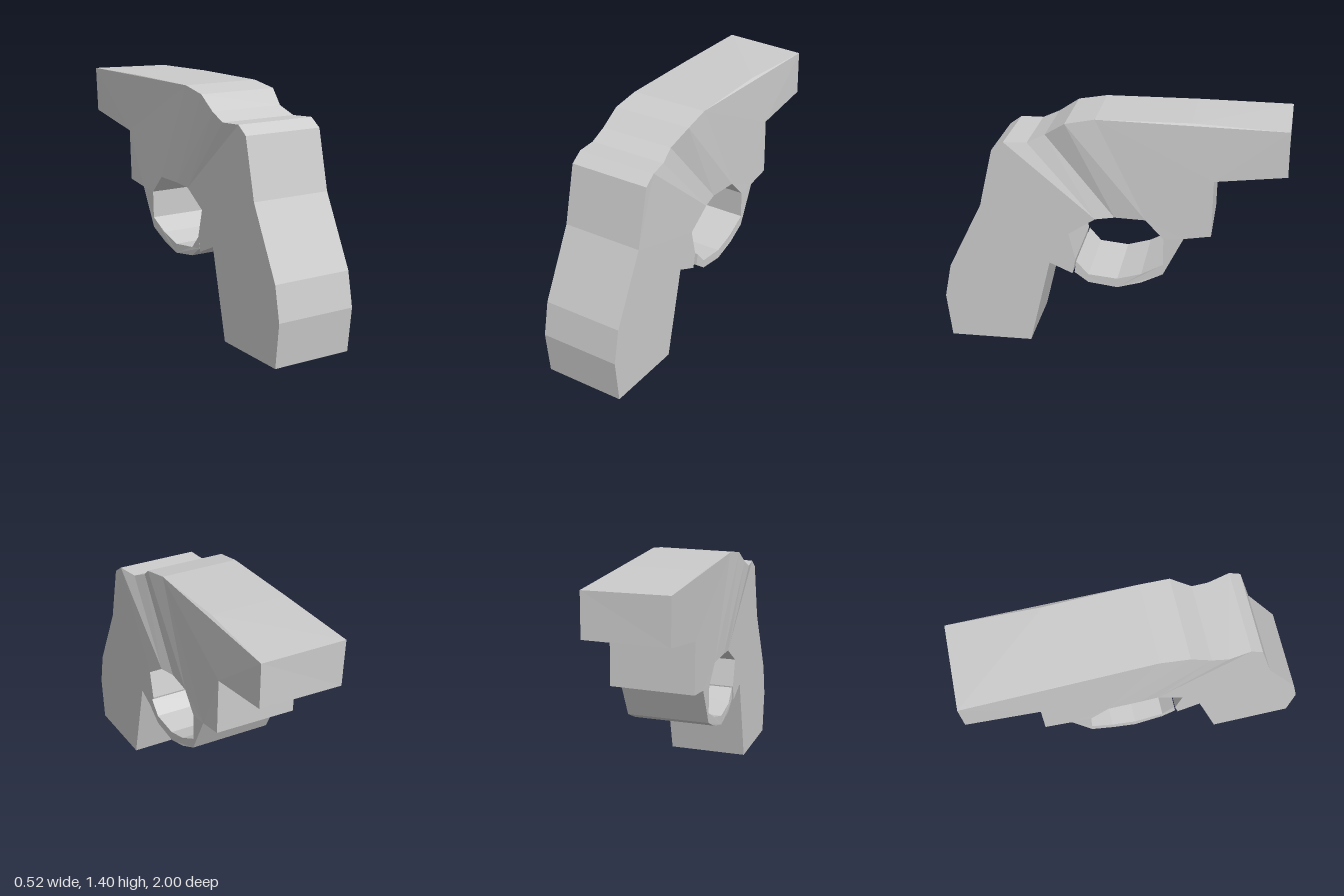
import * as THREE from 'three';

// Side profile, one closed loop: [z, y, x of +x face, x of -x face, dz and dy of the -x face]
const loop = [
  // grip back
  [0.97, 0, 0.245, -0.24], [1, 0.26, 0.245, -0.24], [0.96, 0.46, 0.245, -0.24],
  [0.76, 0.86, 0.245, -0.24], [0.68, 1.2, 0.245, -0.24], [0.61, 1.25, 0.243, -0.24],
  // pinched neck
  [0.48, 1.245, 0.215, -0.255], [0.38, 1.29, 0.195, -0.255], [0.26, 1.37, 0.232, -0.252],
  // barrel
  [0.09, 1.4, 0.222, -0.247], [-0.45, 1.4, 0.21, -0.252],
  [-0.985, 1.38, 0.232, -0.262, -0.015, 0.01], [-0.985, 1.12, 0.235, -0.255, -0.01, 0],
  [-0.58, 1.075, 0.24, -0.25, 0, -0.03], [-0.575, 0.745, 0.245, -0.245, 0, -0.005],
  [-0.42, 0.72, 0.245, -0.245],
  // guard, outside then inside
  [-0.305, 0.49, 0.247, -0.242], [-0.18, 0.43, 0.25, -0.24], [-0.04, 0.39, 0.25, -0.24],
  [0.13, 0.415, 0.255, -0.235], [0.21, 0.475, 0.257, -0.235], [0.2, 0.545, 0.257, -0.235],
  [0.13, 0.465, 0.255, -0.235], [-0.04, 0.445, 0.25, -0.24], [-0.18, 0.485, 0.25, -0.24],
  [-0.305, 0.55, 0.247, -0.242], [-0.305, 0.71, 0.245, -0.245],
  // top and front of the finger opening
  [-0.2, 0.82, 0.24, -0.245], [-0.02, 0.82, 0.225, -0.245], [0.09, 0.81, 0.243, -0.24],
  [0.245, 0.71, 0.245, -0.24], [0.206, 0.55, 0.245, -0.24],
  // grip front
  [0.225, 0.46, 0.245, -0.24], [0.36, 0.52, 0.245, -0.24], [0.485, 0, 0.245, -0.24],
];

const range = (a, b) => Array.from({ length: b - a + 1 }, (_, i) => a + i);

// Each part takes a run of loop points; edges that cut across the loop stay open seams
const parts = {
  grip: [...range(0, 5), ...range(29, 34)],
  neckRear: [5, 6, 7, 28, 29],
  neckFront: [7, 8, 27, 28],
  barrelAndFrame: [...range(8, 15), 26, 27],
  triggerGuard: range(15, 26),
};

const rightPoint = ([z, y, x]) => [x, y, z];
const leftPoint = ([z, y, , x, dz = 0, dy = 0]) => [x, y + dy, z + dz];

function partGeometry(ids) {
  const positions = [];
  const triangle = (...corners) => corners.forEach((c) => positions.push(...c));

  // side faces
  const flat = ids.map((i) => new THREE.Vector2(-loop[i][0], loop[i][1]));
  for (const face of THREE.ShapeUtils.triangulateShape(flat, [])) {
    const ccw = THREE.ShapeUtils.area(face.map((k) => flat[k])) > 0;
    const [a, b, c] = (ccw ? face : [...face].reverse()).map((k) => loop[ids[k]]);
    triangle(rightPoint(a), rightPoint(b), rightPoint(c));
    triangle(leftPoint(c), leftPoint(b), leftPoint(a));
  }

  // walls across the thickness
  ids.forEach((i, k) => {
    const j = ids[(k + 1) % ids.length];
    if (j !== (i + 1) % loop.length) return;
    const a = loop[i], b = loop[j];
    triangle(rightPoint(a), rightPoint(b), leftPoint(b));
    triangle(rightPoint(a), leftPoint(b), leftPoint(a));
  });

  const geometry = new THREE.BufferGeometry();
  geometry.setAttribute('position', new THREE.Float32BufferAttribute(positions, 3));
  geometry.computeVertexNormals();
  return geometry;
}

export function createModel() {
  const group = new THREE.Group();
  group.name = 'toyPistol';
  const material = new THREE.MeshStandardMaterial({ color: 0xcccccc, flatShading: true });
  for (const [name, ids] of Object.entries(parts)) {
    const mesh = new THREE.Mesh(partGeometry(ids), material);
    mesh.name = name;
    group.add(mesh);
  }
  return group;
}
